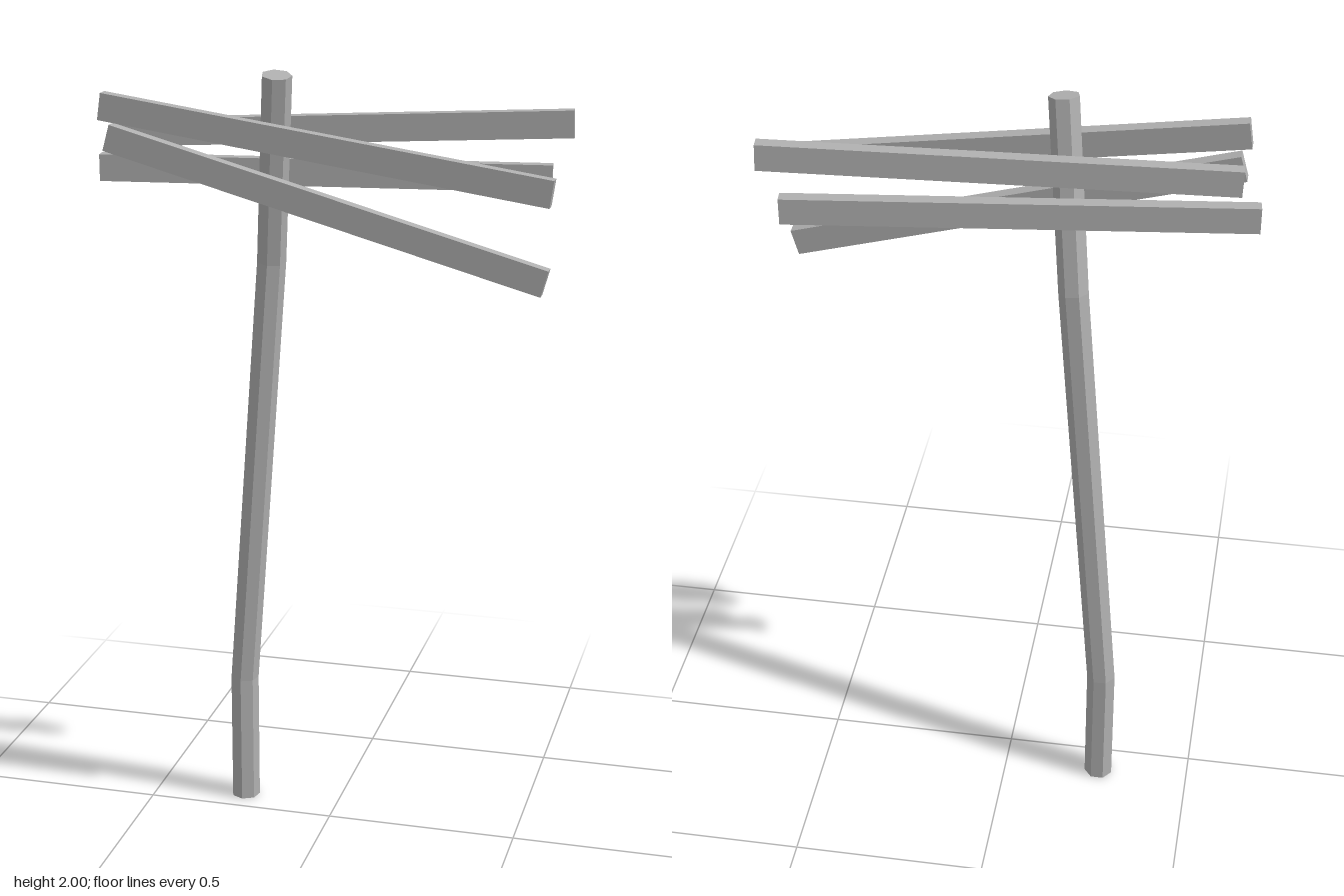
import * as THREE from 'three';

const SIDES = 7;
const RADIUS = 0.038;

// Bent post: heptagonal rings, each tilted square to the local direction of the post
function postGeometry(centres) {
  const pts = centres.map((c) => new THREE.Vector3(...c));
  const last = pts.length - 1;
  const positions = [];
  const index = [];
  pts.forEach((c, i) => {
    const dir = new THREE.Vector3();
    if (i > 0) dir.add(c.clone().sub(pts[i - 1]).normalize());
    if (i < last) dir.add(pts[i + 1].clone().sub(c).normalize());
    for (let s = 0; s < SIDES; s++) {
      const a = (s / SIDES) * Math.PI * 2;
      const dx = Math.sin(a) * RADIUS;
      const dz = Math.cos(a) * RADIUS;
      const dy = i === 0 ? 0 : -(dx * dir.x + dz * dir.z) / dir.y;
      positions.push(c.x + dx, c.y + dy, c.z + dz);
    }
  });
  for (let i = 0; i < last; i++) {
    for (let s = 0; s < SIDES; s++) {
      const a = i * SIDES + s;
      const b = i * SIDES + ((s + 1) % SIDES);
      index.push(a, b, b + SIDES, a, b + SIDES, a + SIDES);
    }
  }
  // End caps
  const top = last * SIDES;
  for (let s = 1; s < SIDES - 1; s++) {
    index.push(0, s + 1, s);
    index.push(top, top + s, top + s + 1);
  }
  const indexed = new THREE.BufferGeometry();
  indexed.setAttribute('position', new THREE.Float32BufferAttribute(positions, 3));
  indexed.setIndex(index);
  const geometry = indexed.toNonIndexed();
  geometry.computeVertexNormals();
  return geometry;
}

export function createModel() {
  const model = new THREE.Group();
  model.name = 'signpost';
  const grey = new THREE.MeshStandardMaterial({ color: 0xb0b0b0 });
  grey.name = 'grey wood';

  const post = new THREE.Mesh(postGeometry([
    [-0.257, 0, -0.078],
    [-0.257, 0.35, -0.078],
    [-0.155, 1.515, -0.016],
    [-0.113, 1.992, 0.07],
  ]), grey);
  post.name = 'post';
  model.add(post);

  // Planks: name, length, centre, yaw about y, roll in the plank's own plane
  const planks = [
    ['frontUpperPlank', 1.127, [0.011, 1.827, 0.112], 0, -0.144],
    ['frontLowerPlank', 1.133, [0.009, 1.678, 0.096], 0, -0.27],
    ['backUpperPlank', 1.13, [0.0215, 1.852, -0.045], 0.12, 0.041],
    ['backLowerPlank', 1.126, [-0.027, 1.739, -0.05], 0.12, 0],
  ];
  for (const [name, length, centre, yaw, roll] of planks) {
    const plank = new THREE.Mesh(new THREE.BoxGeometry(length, 0.067, 0.032), grey);
    plank.name = name;
    plank.position.set(...centre);
    plank.rotation.set(0, yaw, roll, 'YZX');
    model.add(plank);
  }
  return model;
}
